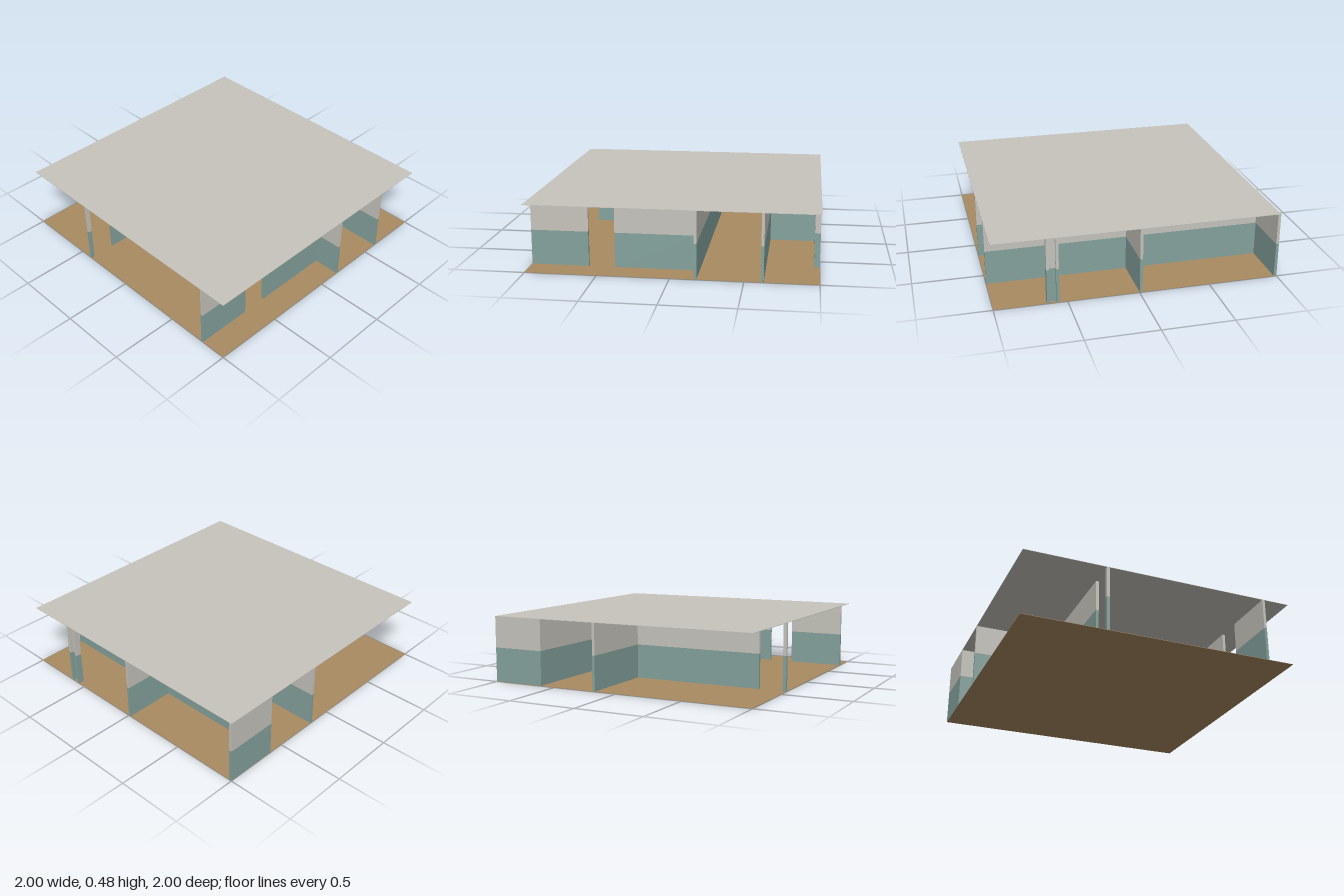
import * as THREE from 'three';

export function createModel() {
  const model = new THREE.Group();
  const mat = (name, color) => {
    const m = new THREE.MeshStandardMaterial({ color });
    m.name = name;
    return m;
  };
  const plaster = mat('grey plaster', 0xc6c4bc);
  const teal = mat('teal paint', 0x84a29d);
  const wood = mat('wood floor', 0xa88b62);

  const TOP = 0.475, DADO = 0.25, SLAB = 0.003;

  // Box given by its limits on each axis
  const box = (parent, name, material, x0, x1, y0, y1, z0, z1) => {
    const mesh = new THREE.Mesh(new THREE.BoxGeometry(x1 - x0, y1 - y0, z1 - z0), material);
    mesh.position.set((x0 + x1) / 2, (y0 + y1) / 2, (z0 + z1) / 2);
    mesh.name = name;
    parent.add(mesh);
  };

  // Wall with a painted lower band and a plaster upper band
  const wall = (name, x0, x1, z0, z1) => {
    const group = new THREE.Group();
    group.name = name;
    box(group, 'lowerWall', teal, x0, x1, SLAB, DADO, z0, z1);
    box(group, 'upperWall', plaster, x0, x1, DADO, TOP, z0, z1);
    model.add(group);
  };

  // Thin floor and ceiling slabs
  box(model, 'floor', wood, -1, 1, 0, SLAB, -1, 1);
  box(model, 'ceiling', plaster, -1, 1, TOP, TOP + SLAB, -1, 1);

  // Corridor walls running the full width
  wall('corridorFrontWall', -1, 1, -0.183, -0.163);
  wall('corridorBackWall', -1, 1, -0.631, -0.611);

  // Front room dividers, each with a doorway gap
  wall('leftDividerFront', 0.789, 0.809, 0.594, 1);
  wall('leftDividerBack', 0.789, 0.809, -0.163, 0.41);
  wall('rightDividerPost', -0.41, -0.39, 0.975, 1);
  wall('rightDividerBack', -0.41, -0.39, -0.163, 0.8);

  // Back room dividers
  wall('backDivider', -0.02, 0, -1, -0.631);
  wall('backRightSideWall', -1, -0.98, -1, -0.631);

  // Small U-shaped duct on the back edge
  wall('ductLeftSide', 0.62, 0.64, -1, -0.96);
  wall('ductRightSide', 0.555, 0.575, -1, -0.96);
  wall('ductPanel', 0.575, 0.62, -0.98, -0.96);

  return model;
}
